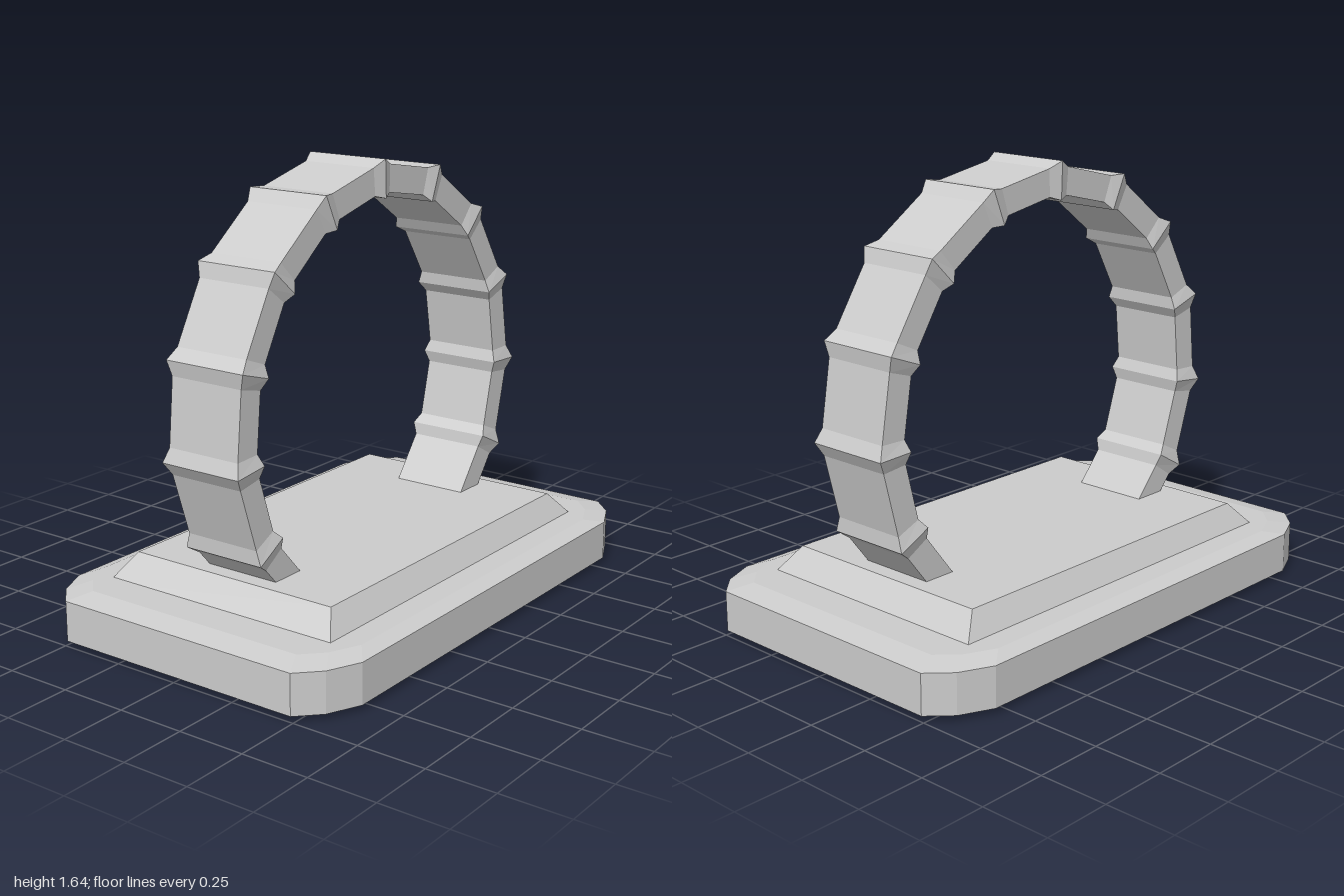
import * as THREE from 'three';

const material = new THREE.MeshStandardMaterial({ color: 0xcccccc, flatShading: true });

// Skin a stack of matching loops (counter-clockwise seen from the last one) and cap both ends.
function loft(name, sections) {
  const pos = [];
  const tri = (...p) => p.forEach((v) => pos.push(...v));
  const n = sections[0].length;
  for (let i = 0; i < sections.length - 1; i++) {
    for (let j = 0; j < n; j++) {
      const k = (j + 1) % n;
      const a = sections[i][j], b = sections[i][k];
      const c = sections[i + 1][k], d = sections[i + 1][j];
      tri(a, b, c);
      tri(a, c, d);
    }
  }
  const first = sections[0], last = sections[sections.length - 1];
  for (let j = 1; j < n - 1; j++) {
    tri(first[0], first[j + 1], first[j]);
    tri(last[0], last[j], last[j + 1]);
  }
  const geometry = new THREE.BufferGeometry();
  geometry.setAttribute('position', new THREE.Float32BufferAttribute(pos, 3));
  geometry.computeVertexNormals();
  const mesh = new THREE.Mesh(geometry, material);
  mesh.name = name;
  return mesh;
}

// Mirror one quarter outline (front to side) into a closed loop of [x, z] points.
function mirrorQuarter(quarter) {
  const half = [...quarter, ...quarter.map(([x, z]) => [x, -z]).reverse()];
  return [...half, ...half.map(([x, z]) => [-x, z]).reverse()];
}

export function createModel() {
  const group = new THREE.Group();
  group.name = 'ringOnBase';

  // Base slab with cut corners and shallow bevels above and below
  const outline = mirrorQuarter([[0.49, 1], [0.57, 0.92], [0.625, 0.8]]);
  const slab = [[0, 0.91], [0.02, 1], [0.168, 1], [0.187, 0.91]];
  group.add(loft('baseSlab', slab.map(([y, s]) => outline.map(([x, z]) => [x * s, y, z * s]))));

  // Raised plinth with sloping sides
  const plinth = [[0.17, 0.49, 0.79], [0.272, 0.425, 0.7]];
  group.add(loft('plinth', plinth.map(([y, w, d]) => [[-w, y, d], [w, y, d], [w, y, -d], [-w, y, -d]])));

  // Arch: straight band segments joined at flared ridges, the feet sunk into the plinth
  const centreY = 0.785, step = 23.6, tilt = 2, flare = 3.4;
  const section = (degrees, outer, inner, w) => {
    const t = THREE.MathUtils.degToRad(degrees);
    const at = (x, r) => [x, centreY + r * Math.cos(t), r * Math.sin(t)];
    return [at(w, outer), at(-w, outer), at(-w, inner), at(w, inner)];
  };
  const band = (degrees) => section(degrees, 0.827, 0.727, 0.147);
  const arch = [band(tilt - 6 * step + flare)];
  for (let i = -5; i <= 5; i++) {
    const a = tilt + i * step;
    arch.push(band(a - flare), section(a, 0.851, 0.713, 0.163), band(a + flare));
  }
  arch.push(band(tilt + 6 * step - flare));
  group.add(loft('ridgedArch', arch));

  return group;
}
